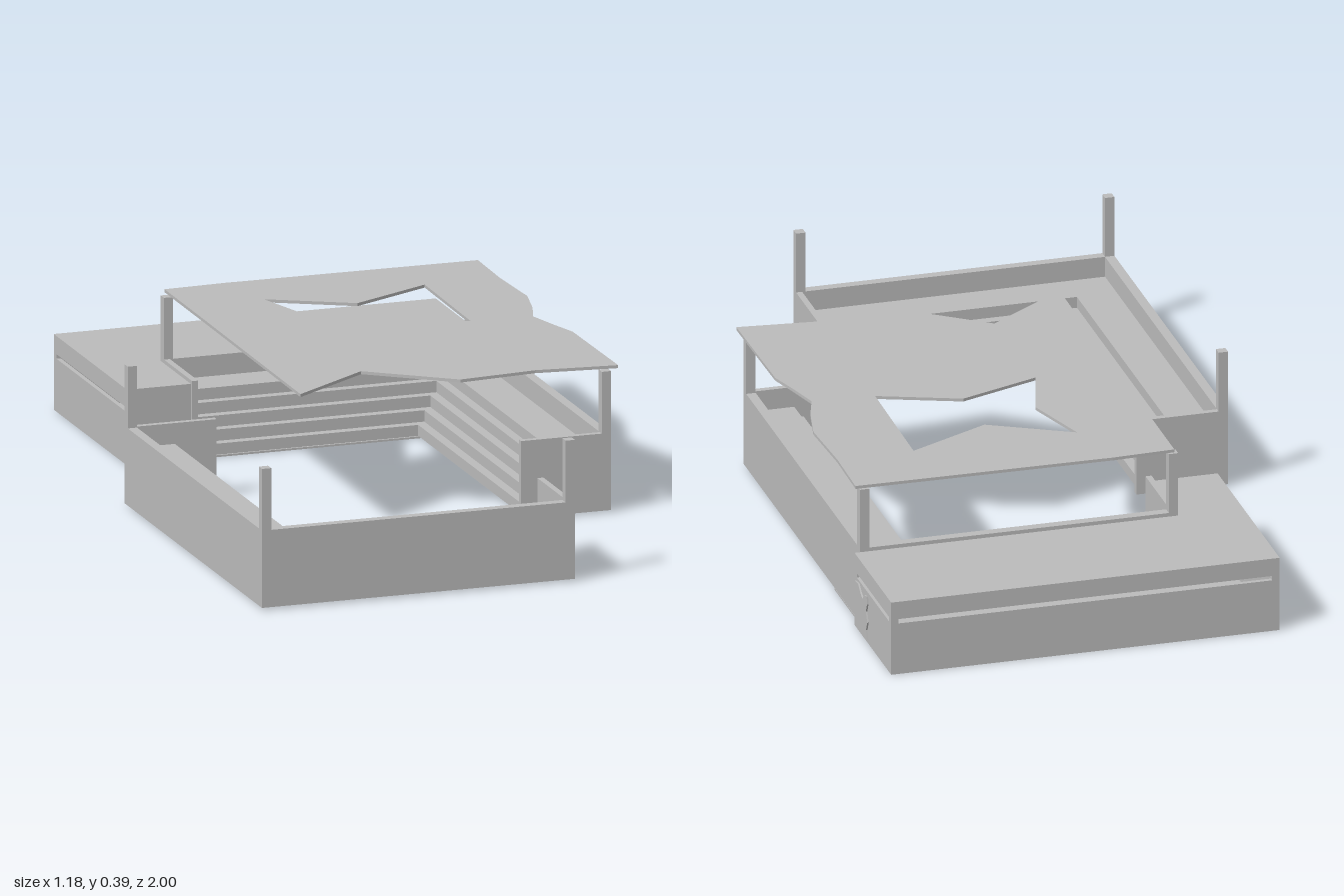
import * as THREE from 'three';

const concrete = new THREE.MeshStandardMaterial({ color: 0xbcbcbc, side: THREE.DoubleSide, flatShading: true });
concrete.name = 'concrete grey';

const BASE = 0.006, RAIL = 0.21, POST = 0.373;

function add(parent, name, geometry, x = 0, y = 0, z = 0) {
  const mesh = new THREE.Mesh(geometry, concrete);
  mesh.name = name;
  mesh.position.set(x, y, z);
  parent.add(mesh);
  return mesh;
}

// box given by its lower and upper corners
function block(parent, name, x0, x1, y0, y1, z0, z1) {
  return add(parent, name, new THREE.BoxGeometry(x1 - x0, y1 - y0, z1 - z0),
    (x0 + x1) / 2, (y0 + y1) / 2, (z0 + z1) / 2);
}

const outline = pts => pts.map(([x, y]) => new THREE.Vector2(x, y));

function extrude(pts, depth, holes = []) {
  const shape = new THREE.Shape(outline(pts));
  holes.forEach(h => shape.holes.push(new THREE.Path(outline(h))));
  return new THREE.ExtrudeGeometry(shape, { depth, bevelEnabled: false });
}

// horizontal slab from a plan outline in (x, z), resting at height y
function slab(parent, name, pts, y, depth, holes = []) {
  const g = extrude(pts, depth, holes);
  g.rotateX(Math.PI / 2);
  return add(parent, name, g, 0, y + depth, 0);
}

// upright wall with a long window slit
function slitWall(parent, name, length, x, z, turn) {
  const g = extrude([[0, 0], [length, 0], [length, 0.2], [0, 0.2]], 0.012,
    [[[0.02, 0.14], [length - 0.02, 0.14], [length - 0.02, 0.152], [0.02, 0.152]]]);
  add(parent, name, g, x, 0, z).rotation.y = turn;
}

// stepped shell swept around the inside of the L
function terraceGeometry(x0, z0, xEnd, zEnd) {
  const profile = [[0.02, 0.155], [0.13, 0.155]];
  for (let i = 0; i < 5; i++) {
    const d = 0.13 + i * 0.025, y = i < 4 ? 0.125 - i * 0.03 : BASE;
    profile.push([d, y]);
    if (i < 4) profile.push([d + 0.025, y]);
  }
  const rows = profile.map(([d, y]) => [[x0 + d, y, zEnd], [x0 + d, y, z0 - d], [xEnd, y, z0 - d]]);
  const v = [];
  for (let i = 0; i < rows.length - 1; i++) {
    for (let j = 0; j < 2; j++) {
      const a = rows[i][j], b = rows[i][j + 1], c = rows[i + 1][j + 1], d = rows[i + 1][j];
      v.push(...a, ...b, ...c, ...a, ...c, ...d);
    }
  }
  const g = new THREE.BufferGeometry();
  g.setAttribute('position', new THREE.Float32BufferAttribute(v, 3));
  g.computeVertexNormals();
  return g;
}

// L-shaped stand: outer walls, end walls, three posts and terraces
function makeStand(name) {
  const s = new THREE.Group();
  s.name = name;
  const x0 = -0.589, z0 = 0.99, xEnd = 0.255, zEnd = -0.07, t = 0.025;
  block(s, 'longWall', x0, x0 + t, BASE, RAIL, zEnd, z0);
  block(s, 'shortWall', x0 + t, xEnd, BASE, RAIL, z0 - t, z0);
  block(s, 'longEndWall', x0 + t, x0 + 0.243, BASE, RAIL, zEnd, zEnd + 0.016);
  block(s, 'shortEndWall', xEnd - 0.016, xEnd, BASE, RAIL, z0 - 0.243, z0 - t);
  for (const [x, z] of [[x0, z0 - t], [x0, zEnd], [xEnd - t, z0 - t]])
    block(s, 'post', x, x + t, RAIL, POST, z, z + t);
  add(s, 'terraces', terraceGeometry(x0, z0, xEnd - 0.016, zEnd + 0.016));
  return s;
}

export function createModel() {
  const model = new THREE.Group();
  model.name = 'openAirStands';

  // stands and building sit slightly turned
  const site = new THREE.Group();
  site.name = 'site';
  site.rotation.y = 0.018;
  model.add(site);

  site.add(makeStand('frontStand'));
  const backStand = makeStand('backStand');
  backStand.rotation.y = Math.PI;
  backStand.position.set(-0.03, 0, 0.33);
  site.add(backStand);

  // hollow building wrapped around the back stand
  const building = new THREE.Group();
  building.name = 'building';
  site.add(building);
  const L = -0.457, R = 0.573, B = -0.993, F = -0.428, N = -0.66, E = -0.285;
  block(building, 'floor', L, R - 0.014, 0, 0.005, B, F);
  slab(building, 'buildingRoof', [[L, B], [R, B], [R, N], [E, N], [E, F], [L, F]], 0.19, 0.01);
  slitWall(building, 'backWall', R - L, L, B, 0);
  slitWall(building, 'rightSideWall', F - B, L, F, Math.PI / 2);
  slitWall(building, 'leftSideWall', N - B, R - 0.012, N, Math.PI / 2);
  block(building, 'frontWall', L, E, 0, 0.2, F - 0.012, F);

  // wavy relief on the side wall
  const relief = extrude([
    [0.01, 0.012], [0.03, 0.006], [0.06, 0.014], [0.09, 0.006], [0.12, 0.01], [0.112, 0.035],
    [0.124, 0.06], [0.11, 0.085], [0.122, 0.11], [0.118, 0.13], [0.095, 0.125], [0.08, 0.108],
    [0.06, 0.118], [0.04, 0.134], [0.01, 0.13], [0.018, 0.1], [0.006, 0.075], [0.018, 0.045]
  ], 0.004);
  add(building, 'wavyRelief', relief, R, 0, N - 0.005).rotation.y = Math.PI / 2;

  // jagged canopy with a star-like opening
  slab(model, 'canopy', [
    [-0.285, -0.66], [-0.12, -0.67], [0.56, -0.675], [0.56, -0.5], [0.572, -0.31],
    [0.55, -0.2], [0.525, -0.12], [0.55, -0.03], [0.575, 0.05], [0.585, 0.39],
    [0.37, 0.37], [0.16, 0.395], [-0.055, 0.24], [-0.27, 0.4], [-0.28, -0.35]
  ], 0.379, 0.008, [[
    [-0.075, -0.49], [0.14, -0.38], [0.358, -0.495], [0.36, -0.13],
    [0.148, -0.205], [-0.065, -0.122], [-0.015, -0.305]
  ]]);

  return model;
}
